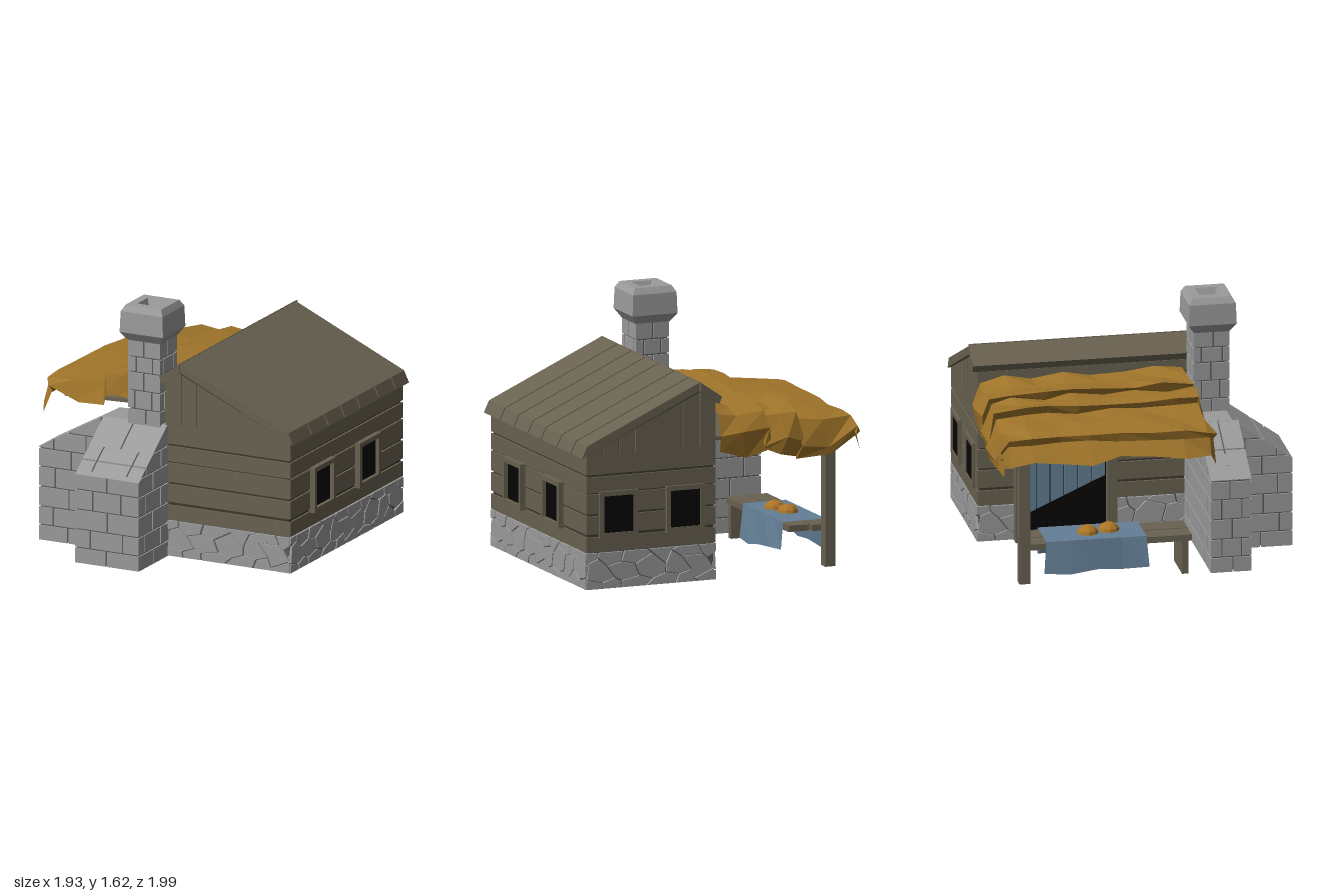
import * as THREE from 'three';
import { mergeGeometries } from 'three/addons/utils/BufferGeometryUtils.js';

const mat = (name, color, side = THREE.FrontSide) => {
  const m = new THREE.MeshStandardMaterial({ color, side });
  m.name = name;
  return m;
};

export function createModel() {
  const model = new THREE.Group();
  model.name = 'cottageWithStall';
  const stone = mat('stone', 0x9b9b9b), mortar = mat('mortar', 0x5a5a5a);
  const wood = mat('weatheredWood', 0x696251);
  const darkWood = mat('seamWood', 0x3d382e);
  const straw = mat('straw', 0xa0752a, THREE.DoubleSide);
  const blue = mat('blueCloth', 0x647f96, THREE.DoubleSide);
  const black = mat('darkOpening', 0x050505, THREE.DoubleSide);
  const bread = mat('bread', 0xab7526);

  let seed = 7;
  const rnd = () => ((seed = (seed * 16807) % 2147483647) / 2147483647);
  const hash = (a, b) => { const s = Math.sin(a * 127.1 + b * 311.7) * 43758.5; return s - Math.floor(s) - 0.5; };

  // Faceted mesh from one or several geometries
  const add = (name, geos, material, parent = model) => {
    const list = [].concat(geos).map(g => (g.index ? g.toNonIndexed() : g));
    const geo = list.length > 1 ? mergeGeometries(list) : list[0];
    geo.computeVertexNormals();
    const m = new THREE.Mesh(geo, material);
    m.name = name;
    parent.add(m);
    return m;
  };
  const box = (x0, x1, y0, y1, z0, z1, seg = 1) => new THREE.BoxGeometry(x1 - x0, y1 - y0, z1 - z0, seg, 1, seg)
    .translate((x0 + x1) / 2, (y0 + y1) / 2, (z0 + z1) / 2);
  const prism = (pts, z0, z1) => new THREE.ExtrudeGeometry(
    new THREE.Shape(pts.map(p => new THREE.Vector2(p[0], p[1]))),
    { depth: z1 - z0, bevelEnabled: false }).translate(0, 0, z0);
  const clip = (geo, top) => {
    const p = geo.attributes.position;
    for (let i = 0; i < p.count; i++) p.setY(i, Math.min(p.getY(i), top(p.getX(i), p.getZ(i))));
    return geo;
  };
  const sheet = (xs, zs, rule) => {
    const g = new THREE.PlaneGeometry(1, 1, xs.length - 1, zs.length - 1);
    const p = g.attributes.position;
    for (let i = 0; i < p.count; i++) {
      const c = i % xs.length, r = Math.floor(i / xs.length);
      p.setXYZ(i, ...rule(xs[c], zs[r], c, r));
    }
    return g;
  };

  // Masonry block: staggered bricks over a recessed core, cut by a sloping top
  const cuts = (a, b, n, odd) => {
    const e = [a];
    for (let i = odd ? 0.5 : 1; i < n; i++) e.push(a + (b - a) * i / n + (rnd() - 0.5) * 0.03);
    return [...e, b];
  };
  const masonry = (name, x0, x1, z0, z1, ys, nx, nz, top) => {
    const bricks = [], g = 0.005;
    for (let r = 0; r < ys.length - 1; r++) {
      const ex = cuts(x0, x1, nx, r % 2), ez = cuts(z0, z1, nz, r % 2);
      for (let i = 0; i < ex.length - 1; i++) for (let k = 0; k < ez.length - 1; k++) {
        const xa = ex[i] + (i ? g : 0), xb = ex[i + 1] - (i < ex.length - 2 ? g : 0);
        const za = ez[k] + (k ? g : 0), zb = ez[k + 1] - (k < ez.length - 2 ? g : 0);
        if (Math.max(top(xa, za), top(xb, zb)) <= ys[r]) continue;
        bricks.push(clip(box(xa, xb, ys[r] + (r ? g : 0), ys[r + 1] - g, za, zb, 6), top));
      }
    }
    add(name + 'Bricks', bricks, stone);
    const c = 0.01;
    add(name + 'Mortar', clip(box(x0 + c, x1 - c, 0.01 + ys[0], ys.at(-1) - c, z0 + c, z1 - c),
      (x, z) => top(x, z) - c), mortar);
  };
  const courses = [0, 0.1, 0.22, 0.35, 0.48, 0.6, 0.72, 0.86];
  masonry('ovenWing', -0.82, -0.385, 0.39, 0.65, courses, 2, 2, x => 0.61 + (x + 0.82) * 0.56);
  masonry('ovenBody', -0.385, 0.065, 0.39, 0.61, courses, 2, 1, () => 0.9);
  masonry('ovenFront', -0.385, 0.065, 0.61, 0.995, courses, 2, 2, (x, z) => 0.855 - (z - 0.61) * 0.72);
  masonry('chimney', -0.2, 0.025, 0.4, 0.63, [0.84, 0.94, 1.06, 1.18, 1.28, 1.4], 2, 2, () => 2);

  // Flared chimney cap with a sunken flue
  const capPts = [[0.112, 1.38], [0.153, 1.44], [0.148, 1.575], [0.125, 1.615], [0.07, 1.615], [0.045, 1.55], [0, 1.55]]
    .map(([r, y]) => new THREE.Vector2(r * Math.SQRT2, y));
  add('chimneyCap', new THREE.LatheGeometry(capPts, 4).rotateY(Math.PI / 4), stone).position.set(-0.088, 0, 0.515);

  // Rubble stones for a stretch of foundation wall
  const rubble = (u0, u1) => {
    const out = [], w = 0.17, h = 0.115;
    const cl = (v, a, b) => Math.min(b, Math.max(a, v));
    for (let r = 0; r < 3; r++) for (let cx = u0 + (r % 2) * w / 2; cx < u1 + 0.04; cx += w) {
      const cy = r * h;
      const pts = [[0, -0.67], [0.5, -0.33], [0.5, 0.33], [0, 0.67], [-0.5, 0.33], [-0.5, -0.33]].map(([a, b]) => {
        const x = cx + a * w, y = cy + b * h, kx = Math.round(x * 100), ky = Math.round(y * 100);
        return [cl(x + hash(kx, ky) * 0.07, u0, u1), cl(y + hash(ky, kx) * 0.05, 0.002, 0.235)];
      });
      const mx = pts.reduce((s, p) => s + p[0], 0) / 6, my = pts.reduce((s, p) => s + p[1], 0) / 6;
      out.push(prism(pts.map(([x, y]) => [x + (mx - x) * 0.07, y + (my - y) * 0.07]), -0.02, 0.004));
    }
    return out;
  };

  // House walls: each is built flat, facing its own +z, then turned into place
  const rows = [[0.24, 0.335], [0.355, 0.47], [0.485, 0.61], [0.62, 0.72], [0.735, 0.86]];
  const wall = (name, L, pos, turn, windows = [], proud = 0.035, door = null) => {
    const g = new THREE.Group();
    g.name = name;
    g.position.set(...pos);
    g.rotation.y = turn;
    model.add(g);
    const spans = door ? [[0, door[0]], [door[1], L]] : [[0, L]];
    const planks = [], rocks = [], backs = [], lows = [];
    for (const [a, b] of spans) {
      const ia = a + 0.012, ib = b - 0.012;
      rocks.push(...rubble(a, b));
      lows.push(box(ia, ib, 0, 0.24, -0.03, -0.012));
      planks.push(box(ia, ib, 0, 0.24, -0.05, -0.03));
      backs.push(box(ia, ib, 0.24, 0.8, -0.05, -0.014));
      for (const [y0, y1] of rows.slice(0, 4)) planks.push(box(a, b, y0, y1, -0.03, 0), box(ia, ib, y0, y1, -0.06, -0.03));
    }
    backs.push(box(0.012, L - 0.012, 0.72, 0.87, -0.05, -0.014));
    planks.push(box(0, L, ...rows[4], -0.03, 0));
    if (door) for (const y of [0.87, 1.0]) planks.push(box(0, L, y, y + 0.125, -0.03, 0));
    add('foundationStones', rocks, stone, g);
    add('foundationCore', lows, mortar, g);
    add('wallPlanks', planks, wood, g);
    add('wallBacking', backs, darkWood, g);
    for (const [u, w] of windows) {
      const a = u - w / 2, b = u + w / 2, f = 0.03;
      add('windowFrame', [box(a, a + f, 0.33, 0.625, -0.01, proud), box(b - f, b, 0.33, 0.625, -0.01, proud),
        box(a + f, b - f, 0.33, 0.36, -0.01, proud), box(a + f, b - f, 0.595, 0.625, -0.01, proud)], wood, g);
      add('windowPane', box(a + f, b - f, 0.36, 0.595, 0.002, 0.01), black, g);
    }
  };
  wall('frontWall', 0.87, [0.06, 0, 0.6], 0);
  wall('sideWall', 1.53, [0.93, 0, 0.6], Math.PI / 2, [[0.41, 0.285], [1.023, 0.285]]);
  wall('backWall', 0.88, [0.93, 0, -0.93], Math.PI, [[0.215, 0.26], [0.67, 0.26]], 0.018);
  wall('doorWall', 1.53, [0.05, 0, -0.93], -Math.PI / 2, [], 0, [0.27, 0.85]);

  // Gables of upright boards that follow the roof
  const under = x => (x < 0.161 ? 1.15 + (x - 0.05) * 0.77 : 1.235 - (x - 0.16) * 0.435);
  const edges = [0.05, 0.16, 0.27, 0.38, 0.49, 0.6, 0.71, 0.82, 0.93];
  for (const [name, z, s, gap] of [['frontGable', 0.6, -1, 0.001], ['backGable', -0.93, 1, 0.006]]) {
    const boards = edges.slice(0, -1).map((a, i) => {
      const b = edges[i + 1] - gap;
      return prism([[a, 0.86], [b, 0.86], [b, under(b)], [a, under(a)]], Math.min(z, z + s * 0.03), Math.max(z, z + s * 0.03));
    });
    add(name + 'Boards', boards, wood);
    const zi = z + s * 0.025;
    add(name + 'Backing', prism([[0.06, 0.86], [0.92, 0.86], [0.92, 0.9], [0.16, 1.23], [0.06, 1.15]],
      zi - 0.015, zi + 0.015), darkWood);
  }

  // Roof boards on the long slope, plain cover on the short one
  const seams = [-0.95, -0.765, -0.54, -0.285, -0.075, 0.145, 0.37, 0.635];
  add('roofBoards', seams.slice(0, -1).map((z, i) =>
    prism([[0.16, 1.275], [0.16, 1.22], [0.965, 0.85], [0.93, 0.925]], z + 0.006, seams[i + 1] - 0.006)), wood);
  add('roofUnderlay', prism([[0.16, 1.25], [0.16, 1.21], [0.94, 0.86], [0.92, 0.905]], -0.94, 0.625), darkWood);
  add('roofShortSlope', prism([[0.165, 1.275], [0.02, 1.175], [0.04, 1.13], [0.165, 1.215]], -0.965, 0.635), wood);

  // Doorway: frame, dark interior and a slatted blue curtain cut on the slant
  add('doorFrame', [box(-0.02, 0.06, 0, 0.8, -0.7, -0.64), box(-0.02, 0.06, 0, 0.8, -0.11, -0.05),
    box(-0.01, 0.06, 0.74, 0.81, -0.64, -0.11)], wood);
  add('darkInterior', [box(0.12, 0.128, 0.01, 0.85, -0.86, 0.1), box(0.1, 0.88, 0.85, 0.858, -0.88, 0.55)], black);
  const slats = [0, 1, 2, 3, 4, 5].map(i => {
    const a = 0.115 + i * 0.088, b = a + 0.08, low = u => 0.1 + u * 0.45;
    return prism([[a, low(a)], [b, low(b)], [b, 0.76], [a, 0.76]], -0.01, 0.01);
  });
  const curtain = add('doorCurtain', slats, blue);
  curtain.rotation.y = -Math.PI / 2;
  curtain.position.set(0.075, 0, -0.75);

  // Canopy: post, board deck and layered straw with drooping edges
  add('canopyPost', box(-0.81, -0.74, 0, 0.86, -0.83, -0.76), wood);
  add('canopyDeck', prism([[0.05, 0.89], [0.05, 0.91], [-0.8, 0.88], [-0.8, 0.86]], -0.9, 0.34), wood);
  const xs = [-0.955, -0.88, -0.895, -0.7, -0.5, -0.52, -0.4, -0.27, -0.295, -0.12, 0.03];
  const ys = [0.83, 0.94, 0.975, 1.0, 1.0, 1.05, 1.05, 1.04, 1.085, 1.075, 1.085];
  const zs = [-0.95, -0.98, -0.92, -0.75, -0.57, -0.4, -0.2, 0, 0.2, 0.37, 0.41];
  const last = zs.length - 1, lastCol = xs.length - 1;
  const backDrop = [0.27, 0.17, 0.03];
  add('strawThatch', sheet(xs, zs, (x, z, c, r) => {
    const rim = r < 2 || r === last || c === 0;
    const j = () => rnd() - 0.5;
    let y = ys[c] + j() * 0.035;
    if (r < 3) y -= backDrop[r] * (c > 2 ? 1 : 0.3);
    if (r === last) y -= c > 2 ? 0.12 : 0.04;
    const wave = c === lastCol ? 0 : hash(r, Math.floor((c - 1) / 3)) * 0.06 + j() * 0.015;
    const taper = c === 0 && (r < 3 || r > last - 2) ? 0.05 : 0;
    return [Math.max(x + wave + taper, -0.97), y + (rim ? j() * 0.06 : 0), Math.max(z + j() * (rim ? 0.03 : 0.05), -1)];
  }), straw);

  // Stall table, draped cloth and loaves
  add('stallTable', [box(-0.81, -0.68, 0.22, 0.26, -0.76, 0.27), box(-0.67, -0.53, 0.22, 0.26, -0.73, 0.27),
    box(-0.8, -0.54, 0, 0.22, 0.21, 0.25)], wood);
  const hemY = [0.08, 0.272, 0.272, 0.07];
  add('tableCloth', sheet([-0.835, -0.815, -0.525, -0.5], [-0.66, -0.5, -0.34, -0.18, -0.02], (x, z, c, r) => {
    const hem = c === 0 || c === 3;
    return [x + (hem ? hash(r, c + 5) * 0.035 : 0), hemY[c] + (hem ? hash(c + 1, r) * 0.06 : 0), z + (hem ? hash(r, c) * 0.03 : 0)];
  }), blue);
  for (const [x, z] of [[-0.68, -0.37], [-0.65, -0.23]]) {
    const loaf = add('loaf', new THREE.SphereGeometry(0.068, 9, 4, 0, Math.PI * 2, 0, Math.PI / 2), bread);
    loaf.scale.set(1, 0.75, 1);
    loaf.position.set(x, 0.272, z);
  }
  return model;
}
